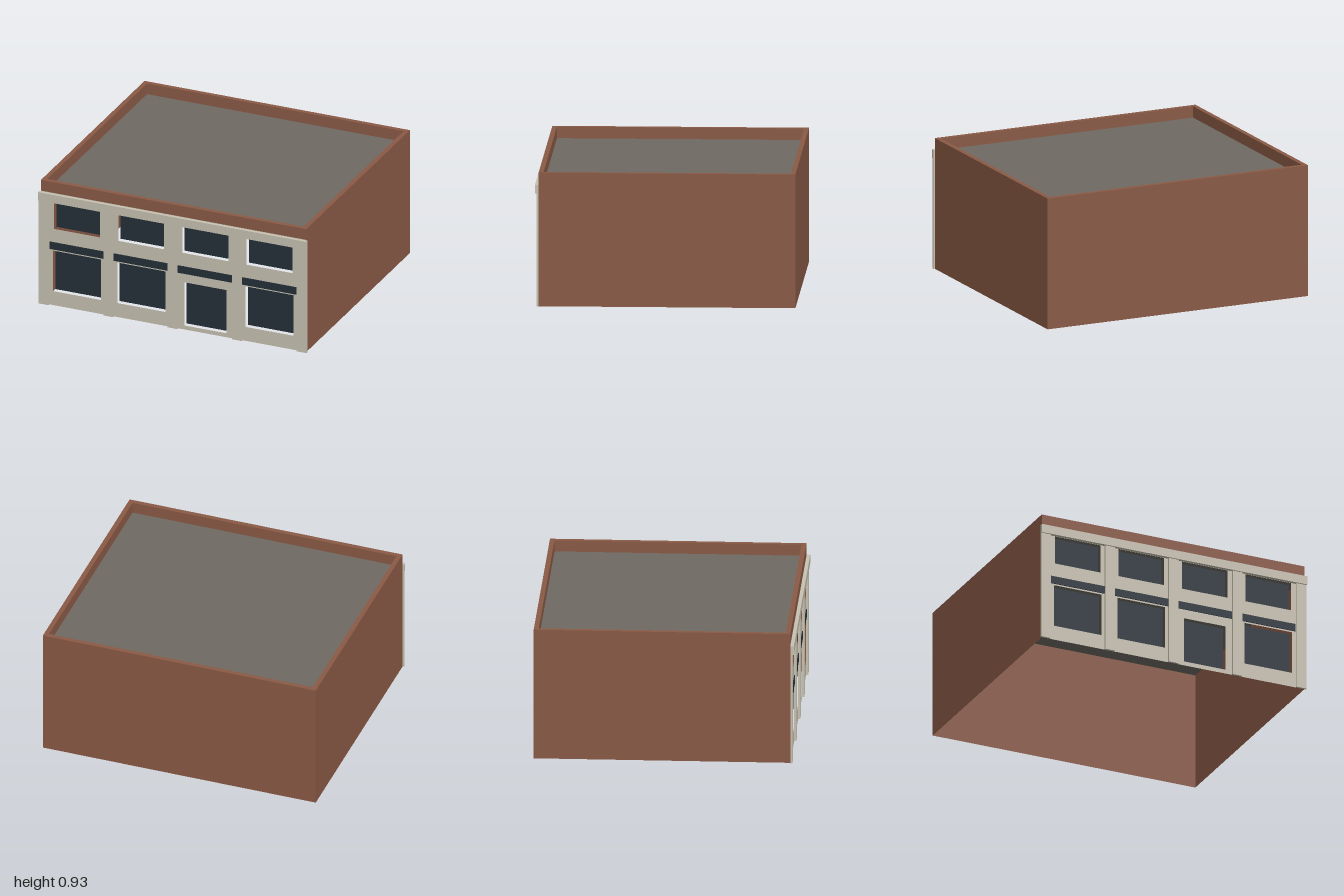
import * as THREE from 'three';

const W = 0.99, BACK = -0.89, FRONT = 0.865, ROOF = 0.845, TOP = 0.925;

function makeMaterial(name, color, side = THREE.FrontSide) {
  const m = new THREE.MeshStandardMaterial({ color, side });
  m.name = name;
  return m;
}

export function createModel() {
  const brick = makeMaterial('brick', 0x8a5a46, THREE.DoubleSide);
  const stone = makeMaterial('stone', 0xc8c2b2, THREE.DoubleSide);
  const glass = makeMaterial('dark glass', 0x263039, THREE.DoubleSide);
  const roofing = makeMaterial('roofing', 0x6e6a62, THREE.DoubleSide);

  const building = new THREE.Group();
  building.name = 'building';

  function add(name, geometry, material) {
    const mesh = new THREE.Mesh(geometry, material);
    mesh.name = name;
    building.add(mesh);
    return mesh;
  }
  // Box given by its two extreme corners
  function box(name, material, x0, x1, y0, y1, z0, z1) {
    const mesh = add(name, new THREE.BoxGeometry(x1 - x0, y1 - y0, z1 - z0), material);
    mesh.position.set((x0 + x1) / 2, (y0 + y1) / 2, (z0 + z1) / 2);
  }

  // Thin brick shell, open underneath
  const depth = FRONT - BACK, midZ = (FRONT + BACK) / 2;
  for (const s of [-1, 1]) {
    const wall = add(s > 0 ? 'leftWall' : 'rightWall', new THREE.PlaneGeometry(depth, ROOF), brick);
    wall.rotation.y = s * Math.PI / 2;
    wall.position.set(s * W, ROOF / 2, midZ);
  }
  const backWall = add('backWall', new THREE.PlaneGeometry(2 * W, ROOF), brick);
  backWall.rotation.y = Math.PI;
  backWall.position.set(0, ROOF / 2, BACK);

  // Flat roof sheet
  const roof = add('roof', new THREE.PlaneGeometry(2 * W - 0.004, depth - 0.004), roofing);
  roof.rotation.x = -Math.PI / 2;
  roof.position.set(0, ROOF - 0.001, midZ);

  // Parapet: one ring around the roof
  const ring = new THREE.Shape();
  ring.moveTo(-W, -FRONT).lineTo(W, -FRONT).lineTo(W, -BACK).lineTo(-W, -BACK).closePath();
  const t = 0.033;
  const inner = new THREE.Path();
  inner.moveTo(-W + t, -FRONT + t).lineTo(-W + t, -BACK - t)
    .lineTo(W - t, -BACK - t).lineTo(W - t, -FRONT + t).closePath();
  ring.holes.push(inner);
  const parapetGeometry = new THREE.ExtrudeGeometry(ring, { depth: TOP - ROOF, bevelEnabled: false });
  parapetGeometry.rotateX(-Math.PI / 2);
  add('parapet', parapetGeometry, brick).position.y = ROOF;

  // Openings as [x0, x1, y0, y1]: an upper window per bay, lower windows and one door
  const bays = [-0.72, -0.241, 0.238, 0.717];
  const openings = [];
  bays.forEach((x, i) => {
    openings.push(['upperWindow', x - 0.171, x + 0.171, 0.575, 0.779]);
    if (i === 2) openings.push(['door', x - 0.157, x + 0.157, 0.03, 0.355]);
    else openings.push(['lowerWindow', x - 0.179, x + 0.179, 0.105, 0.41]);
  });

  // Stone front sheet pierced by the openings
  const face = new THREE.Shape();
  face.moveTo(-W, 0).lineTo(W, 0).lineTo(W, ROOF).lineTo(-W, ROOF).closePath();
  for (const [, x0, x1, y0, y1] of openings) {
    const hole = new THREE.Path();
    hole.moveTo(x0, y0).lineTo(x0, y1).lineTo(x1, y1).lineTo(x1, y0).closePath();
    face.holes.push(hole);
  }
  add('frontWall', new THREE.ShapeGeometry(face), stone).position.z = FRONT;

  // Panes floating just behind their openings
  for (const [name, x0, x1, y0, y1] of openings) {
    const pane = add(name + 'Pane', new THREE.PlaneGeometry(x1 - x0, y1 - y0), glass);
    pane.position.set((x0 + x1) / 2, (y0 + y1) / 2, FRONT - 0.037);
  }

  // Dark bands between the storeys
  for (const x of bays) {
    box('storeyBand', glass, x - 0.205, x + 0.205, 0.421, 0.475, FRONT, FRONT + 0.006);
  }

  // Pilasters and the cornice over them
  const pilasters = [[-1, -0.928], [-0.518, -0.446], [-0.037, 0.033], [0.443, 0.515], [0.925, 1]];
  for (const [x0, x1] of pilasters) {
    box('pilaster', stone, x0, x1, 0, 0.84, FRONT + 0.0005, 0.88);
  }
  box('cornice', stone, -1, 1, 0.78, 0.842, FRONT + 0.001, 0.89);

  return building;
}
